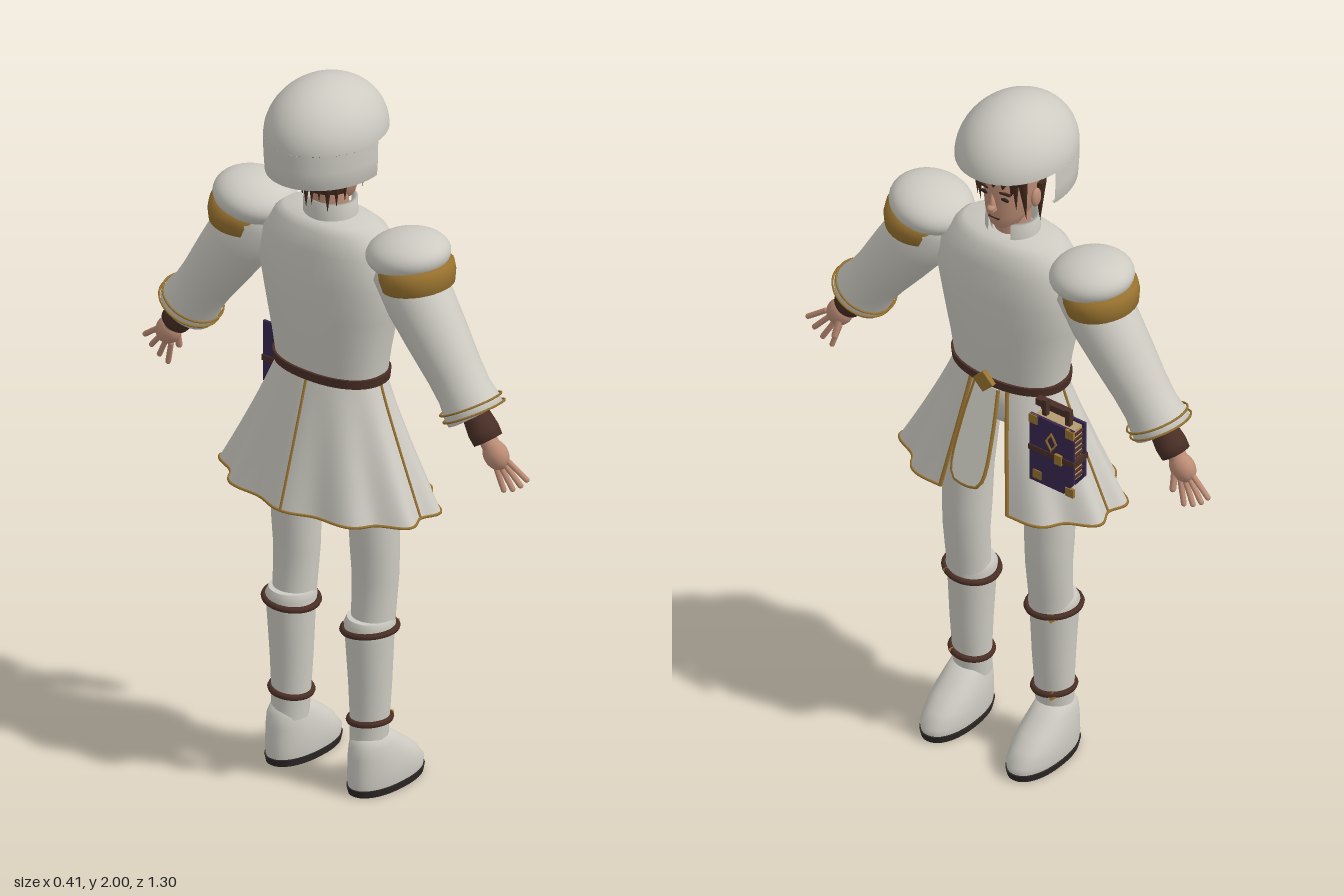
import * as THREE from 'three';

const material = (name, color, side = THREE.FrontSide) => {
  const m = new THREE.MeshStandardMaterial({ color, side });
  m.name = name;
  return m;
};

// Closed body from elliptical cross-sections, listed upward as [y, cx, cz, rx, rz]
function loft(rows, n = 32, power = 2) {
  const pos = [], index = [];
  const bend = (v) => Math.sign(v) * Math.abs(v) ** (2 / power);
  const ring = ([y, cx, cz, rx, rz]) => {
    const start = pos.length / 3;
    for (let j = 0; j < n; j++) {
      const a = (j / n) * Math.PI * 2;
      pos.push(cx + rx * bend(Math.cos(a)), y, cz + rz * bend(Math.sin(a)));
    }
    return start;
  };
  const starts = rows.map(ring);
  for (let i = 0; i + 1 < rows.length; i++) {
    for (let j = 0; j < n; j++) {
      const k = (j + 1) % n, a = starts[i], c = starts[i + 1];
      index.push(a + j, c + j, a + k, a + k, c + j, c + k);
    }
  }
  [rows[0], rows[rows.length - 1]].forEach((row, top) => {
    const s = ring(row), mid = pos.length / 3;
    pos.push(row[1], row[0], row[2]);
    for (let j = 0; j < n; j++) {
      const k = (j + 1) % n;
      index.push(mid, s + (top ? k : j), s + (top ? j : k));
    }
  });
  const g = new THREE.BufferGeometry();
  g.setAttribute('position', new THREE.Float32BufferAttribute(pos, 3));
  g.setIndex(index);
  g.computeVertexNormals();
  return g;
}

const lathe = (pts, n = 32, start = 0, len = Math.PI * 2) =>
  new THREE.LatheGeometry(pts.map((p) => new THREE.Vector2(...p)), n, start, len);
const ball = (rx, ry, rz, n = 24) => new THREE.SphereGeometry(1, n, n * 0.67 | 0).scale(rx, ry, rz);
const box = (x, y, z) => new THREE.BoxGeometry(x, y, z);
const tube = (pts, r, closed = false) =>
  new THREE.TubeGeometry(new THREE.CatmullRomCurve3(pts, closed), pts.length * 3, r, 6, closed);

export function createModel() {
  const white = material('off white cloth', 0xcdcbc2), open = material('off white open cloth', 0xcdcbc2, THREE.DoubleSide);
  const gold = material('gold', 0x98722f), skin = material('skin', 0xbd8d76);
  const leather = material('brown leather', 0x4a2f26), hair = material('dark hair', 0x43291c);
  const dark = material('dark sole', 0x2c2826), purple = material('purple cover', 0x38274f);
  const paper = material('paper', 0xb59c70);
  const model = new THREE.Group();
  const add = (name, geometry, mat, p = [0, 0, 0], r = [0, 0, 0], parent = model) => {
    const m = new THREE.Mesh(geometry, mat);
    m.name = name;
    m.position.set(...p);
    m.rotation.set(...r);
    parent.add(m);
    return m;
  };
  const group = (name, p, rx = 0) => {
    const g = new THREE.Group();
    g.name = name;
    g.position.set(...p);
    g.rotation.x = rx;
    model.add(g);
    return g;
  };

  // Torso, belt and collar; the figure looks along +x
  add('torso', loft([[1.165, 0, 0, 0.098, 0.16], [1.25, 0, 0, 0.108, 0.172], [1.36, 0, 0, 0.116, 0.195],
    [1.45, 0, 0, 0.12, 0.214], [1.54, 0, 0, 0.113, 0.2], [1.59, -0.003, 0, 0.095, 0.165],
    [1.61, -0.005, 0, 0.075, 0.14], [1.617, -0.005, 0, 0.045, 0.06]], 48, 2.3), white);
  add('pelvis', ball(0.09, 0.1, 0.145), white, [0, 1.1, 0]);
  add('belt', loft([[1.165, 0, 0, 0.106, 0.17], [1.19, 0, 0, 0.108, 0.173]], 48, 2.2), leather);
  add('buckle', box(0.014, 0.045, 0.045), gold, [0.117, 1.185, 0], [Math.PI / 4, 0, 0]);
  const collar = lathe([[0.07, 0], [0.068, 0.056], [0.058, 0.056], [0.056, 0]], 32, Math.PI / 2 + 0.5, Math.PI * 2 - 1);
  add('collar', collar.scale(0.95, 1, 1.08), open, [-0.005, 1.603, 0]);

  // Head and face
  add('neck', new THREE.CylinderGeometry(0.045, 0.05, 0.12, 24), skin, [-0.005, 1.645, 0]);
  add('head', loft([[1.645, 0.035, 0, 0.026, 0.022], [1.655, 0.027, 0, 0.043, 0.04], [1.69, 0.01, 0, 0.068, 0.058],
    [1.74, 0, 0, 0.079, 0.069], [1.79, -0.002, 0, 0.082, 0.074], [1.84, -0.008, 0, 0.08, 0.073], [1.89, -0.012, 0, 0.05, 0.05]]), skin);
  const nose = new THREE.ConeGeometry(0.013, 0.055, 8).scale(1.2, 1, 0.9);
  add('nose', nose, skin, [0.082, 1.74, 0], [0, 0, -0.15]);
  add('noseTip', ball(0.013, 0.009, 0.011, 12), skin, [0.088, 1.722, 0]);
  add('mouth', box(0.006, 0.004, 0.034), leather, [0.075, 1.685, 0]);
  add('hairCap', loft([[1.795, -0.006, 0, 0.08, 0.078], [1.815, -0.006, 0, 0.09, 0.083], [1.86, -0.01, 0, 0.09, 0.082], [1.91, -0.015, 0, 0.055, 0.05]]), hair);
  add('backHair', lathe([[0.072, 1.69], [0.084, 1.74], [0.086, 1.85]], 20, Math.PI + 0.3, Math.PI - 0.6)
    .scale(1, 1, 0.95), hair, [-0.004, 0, 0]);
  for (let i = 0; i < 9; i++) {
    const a = Math.PI * (0.62 + 0.76 * i / 8);
    add('backLock', new THREE.ConeGeometry(0.017, 0.13, 8), hair,
      [0.08 * Math.cos(a), 1.735 - 0.014 * (i % 3), 0.074 * Math.sin(a)], [Math.PI, 0, 0]);
  }
  for (let i = 0; i < 5; i++) {
    add('fringeLock', new THREE.ConeGeometry(0.016, 0.06, 8), hair,
      [0.075 - 0.004 * Math.abs(i - 2), 1.793 + 0.006 * (i % 2), (i - 2) * 0.027], [Math.PI + (i - 2) * 0.12, 0, 0]);
  }
  for (const s of [1, -1]) {
    add('eye', ball(0.004, 0.006, 0.014, 12), dark, [0.0725, 1.752, s * 0.032]);
    add('eyebrow', box(0.006, 0.006, 0.032), hair, [0.0745, 1.773, s * 0.034], [s * -0.1, 0, 0]);
    add('ear', ball(0.018, 0.028, 0.01, 14), skin, [-0.004, 1.735, s * 0.075]);
    add('sideLock', new THREE.ConeGeometry(0.017, 0.17, 8), hair, [0.045, 1.77, s * 0.073], [Math.PI, 0, 0.12]);
    add('sideLock', new THREE.ConeGeometry(0.014, 0.13, 8), hair, [0.066, 1.79, s * 0.062], [Math.PI, 0, 0.05]);
  }

  // Helmet: full dome, with a skirt round the back half only
  const helmet = group('helmet', [-0.022, 1.853, 0]);
  const dome = new THREE.SphereGeometry(1, 48, 20, 0, Math.PI * 2, 0, Math.PI / 2).scale(0.178, 0.147, 0.15);
  add('helmetDome', dome, open, [0, 0, 0], [0, 0, 0], helmet);
  const guard = lathe([[0.9, -0.098], [0.975, -0.098], [0.995, -0.05], [1, 0]], 36, Math.PI - 0.18, Math.PI + 0.36);
  add('helmetNeckGuard', guard.scale(0.178, 1, 0.15), open, [0, 0, 0], [0, 0, 0], helmet);

  // Pleated skirt, open at the front, with gold edging
  const skirtPoint = (t, v) => {
    const w = 1 + v * 0.05 * Math.cos(10 * t);
    return new THREE.Vector3(-0.007 * v + (0.101 + 0.088 * v) * w * Math.cos(t), 1.17 - 0.343 * v,
      (0.163 + 0.157 * v ** 1.1) * w * Math.sin(t));
  };
  const front = 0.36;
  for (const s of [1, -1]) {
    const panel = new THREE.PlaneGeometry(1, 1, 60, 12), p = panel.attributes.position;
    for (let i = 0; i < p.count; i++) {
      const q = skirtPoint(s * (front + (p.getX(i) + 0.5) * (Math.PI - front)), 0.5 - p.getY(i));
      p.setXYZ(i, q.x, q.y, q.z);
    }
    panel.computeVertexNormals();
    add('skirtPanel', panel, open);
    const line = (n, f) => Array.from({ length: n + 1 }, (_, i) => f(i / n));
    add('skirtFrontTrim', tube(line(8, (v) => skirtPoint(s * front, v)), 0.006), gold);
    add('skirtSideTrim', tube(line(8, (v) => skirtPoint(s * Math.PI / 2, v)), 0.004), gold);
    add('skirtHem', tube(line(40, (u) => skirtPoint(s * (front + u * (Math.PI - front)), 1)), 0.004), gold);
    if (s > 0) add('skirtBackTrim', tube(line(8, (v) => skirtPoint(Math.PI, v)), 0.004), gold);
  }

  // Hanging front flap
  const flap = group('frontFlap', [0.106, 1.165, 0]);
  flap.rotation.set(-0.34, Math.PI / 2, 0, 'YXZ');
  const outline = [[-0.036, 0], [-0.048, -0.12], [-0.05, -0.24], [-0.038, -0.272], [0, -0.28],
    [0.038, -0.272], [0.05, -0.24], [0.048, -0.12], [0.036, 0]];
  const flapShape = new THREE.Shape(outline.map((q) => new THREE.Vector2(...q)));
  add('flapCloth', new THREE.ExtrudeGeometry(flapShape, { depth: 0.008, bevelEnabled: false }), white, [0, 0, -0.004], [0, 0, 0], flap);
  add('flapTrim', tube(outline.map(([x, y]) => new THREE.Vector3(x, y, 0)), 0.0055), gold, [0, 0, 0], [0, 0, 0], flap);

  for (const s of [1, -1]) {
    // Shoulder pad and band
    const shoulder = group('shoulder', [0, 1.573, s * 0.257], -s * 0.15);
    add('shoulderPad', ball(0.108, 0.062, 0.113, 32), white, [0, 0, 0], [0, 0, 0], shoulder);
    add('shoulderBand', lathe([[0.085, -0.087], [0.094, -0.085], [0.1, -0.055], [0.098, -0.028], [0.08, -0.02]]).scale(1.06, 1, 0.97),
      gold, [0, 0, s * 0.022], [0, 0, 0], shoulder);

    // Sleeve, bracer and hand run down the slanted arm axis
    const arm = group('arm', [0, 1.53, s * 0.24], -s * 0.611);
    const put = (name, g, m, p = [0, 0, 0], r = [0, 0, 0]) => add(name, g, m, p, r, arm);
    put('sleeve', lathe([[0.03, -0.425], [0.066, -0.428], [0.08, -0.425], [0.08, -0.4], [0.074, -0.36],
      [0.076, -0.3], [0.085, -0.2], [0.092, -0.1], [0.088, 0], [0.05, 0.04]]).scale(0.95, 1, 1), open);
    for (const d of [0.395, 0.415]) {
      put('cuffHoop', new THREE.TorusGeometry(0.084, 0.003, 6, 40).rotateX(Math.PI / 2), gold, [0, -d, 0], [s * 0.12, 0, 0]);
    }
    put('bracer', lathe([[0.02, -0.5], [0.04, -0.498], [0.042, -0.47], [0.037, -0.43], [0.037, -0.4]], 24), leather);
    put('wrist', new THREE.CylinderGeometry(0.024, 0.024, 0.05, 16), skin, [0, -0.505, 0]);
    put('palm', ball(0.03, 0.042, 0.036, 20), skin, [0.002, -0.54, 0]);
    for (let i = 0; i < 4; i++) {
      const tilt = (i - 1.5) * 0.22;
      const finger = new THREE.CapsuleGeometry(0.0075, 0.075 - 0.008 * Math.abs(i - 1.5), 4, 8).translate(0, -0.04, 0);
      put('finger', finger, skin, [0.006, -0.565, (i - 1.5) * 0.016], [-tilt, 0, 0.14]);
    }
    put('thumb', new THREE.CapsuleGeometry(0.009, 0.045, 4, 8).translate(0, -0.025, 0), skin, [0.02, -0.54, -s * 0.015], [s * 0.5, 0, 0.3]);

    // Leg, boot shaft, straps and shoe
    const z = s * 0.132;
    add('leg', loft([[0.46, 0.006, z, 0.056, 0.058], [0.52, 0.011, z, 0.056, 0.06], [0.6, 0.017, z, 0.058, 0.063],
      [0.68, 0.015, z, 0.063, 0.066], [0.8, 0.01, z, 0.066, 0.068], [0.95, 0.003, s * 0.122, 0.07, 0.07], [1.12, 0, s * 0.09, 0.075, 0.07]]), white);
    add('bootShaft', loft([[0.13, -0.01, z, 0.05, 0.05], [0.2, -0.006, z, 0.049, 0.053], [0.3, -0.004, z, 0.056, 0.057],
      [0.44, -0.006, z, 0.065, 0.063], [0.475, -0.005, z, 0.068, 0.067], [0.492, -0.004, z, 0.06, 0.06]]), white);
    for (const [y, r] of [[0.46, 0.068], [0.2, 0.052]]) {
      add('bootStrap', new THREE.TorusGeometry(r, 0.008, 8, 36).rotateX(Math.PI / 2).scale(1.04, 1.1, 1.04),
        leather, [-0.005, y, z], [s * -0.1, 0, 0]);
      add('strapStud', box(0.012, 0.018, 0.018), gold, [r * 0.8, y, z + s * r * 0.55], [0.7, s * -0.6, 0]);
    }
    const fz = s * 0.138;
    add('shoe', loft([[0.015, 0.05, fz, 0.126, 0.06], [0.04, 0.05, fz, 0.129, 0.064], [0.075, 0.038, fz, 0.114, 0.063],
      [0.105, 0.022, fz, 0.096, 0.059], [0.135, 0.004, fz, 0.074, 0.053], [0.158, -0.003, fz, 0.052, 0.045], [0.165, -0.005, fz, 0.03, 0.03]], 36, 2.2), white);
    add('sole', loft([[0, 0.05, fz, 0.126, 0.061], [0.02, 0.05, fz, 0.131, 0.065]], 36, 2.2), dark);
  }

  // Strapped book on the right hip
  const book = group('book', [0.108, 1.06, -0.23]);
  const putBook = (name, g, m, p, r) => add(name, g, m, p, r, book);
  const cover = new THREE.Shape([[-0.07, 0.105], [-0.07, -0.105], [0.04, -0.105], [0.07, -0.065], [0.07, 0.105]]
    .map((q) => new THREE.Vector2(...q)));
  for (const x of [-0.028, 0.02]) {
    putBook('bookCover', new THREE.ExtrudeGeometry(cover, { depth: 0.008, bevelEnabled: false }).rotateY(Math.PI / 2)
      .scale(1, 1, -1).rotateX(Math.PI).scale(1, -1, 1), purple, [x, 0, 0]).material = purple;
  }
  putBook('pages', box(0.04, 0.16, 0.124), paper, [0, 0.018, 0]);
  for (let i = 0; i < 9; i++) putBook('pageBinding', box(0.042, 0.006, 0.006), leather, [0, -0.05 + i * 0.017, -0.064]);
  putBook('bookStrap', box(0.062, 0.016, 0.145), leather, [0, 0, 0]);
  putBook('clasp', box(0.01, 0.03, 0.022), gold, [0.031, 0, -0.025]);
  putBook('emblem', new THREE.TorusGeometry(0.02, 0.004, 6, 4).rotateY(Math.PI / 2).scale(1, 1.3, 0.8), gold, [0.029, 0.042, 0]);
  for (const [y, z] of [[0.092, -0.058], [-0.092, -0.058], [0.092, 0.058], [-0.08, 0.045]]) {
    putBook('bookCorner', box(0.008, 0.026, 0.026), gold, [0.027, y, z]);
  }
  for (const z of [-0.035, 0.04]) putBook('hangingStrap', box(0.014, 0.09, 0.014), leather, [0, 0.1, z]);
  putBook('beltLoop', box(0.02, 0.02, 0.1), leather, [-0.02, 0.115, 0.03]);
  return model;
}
